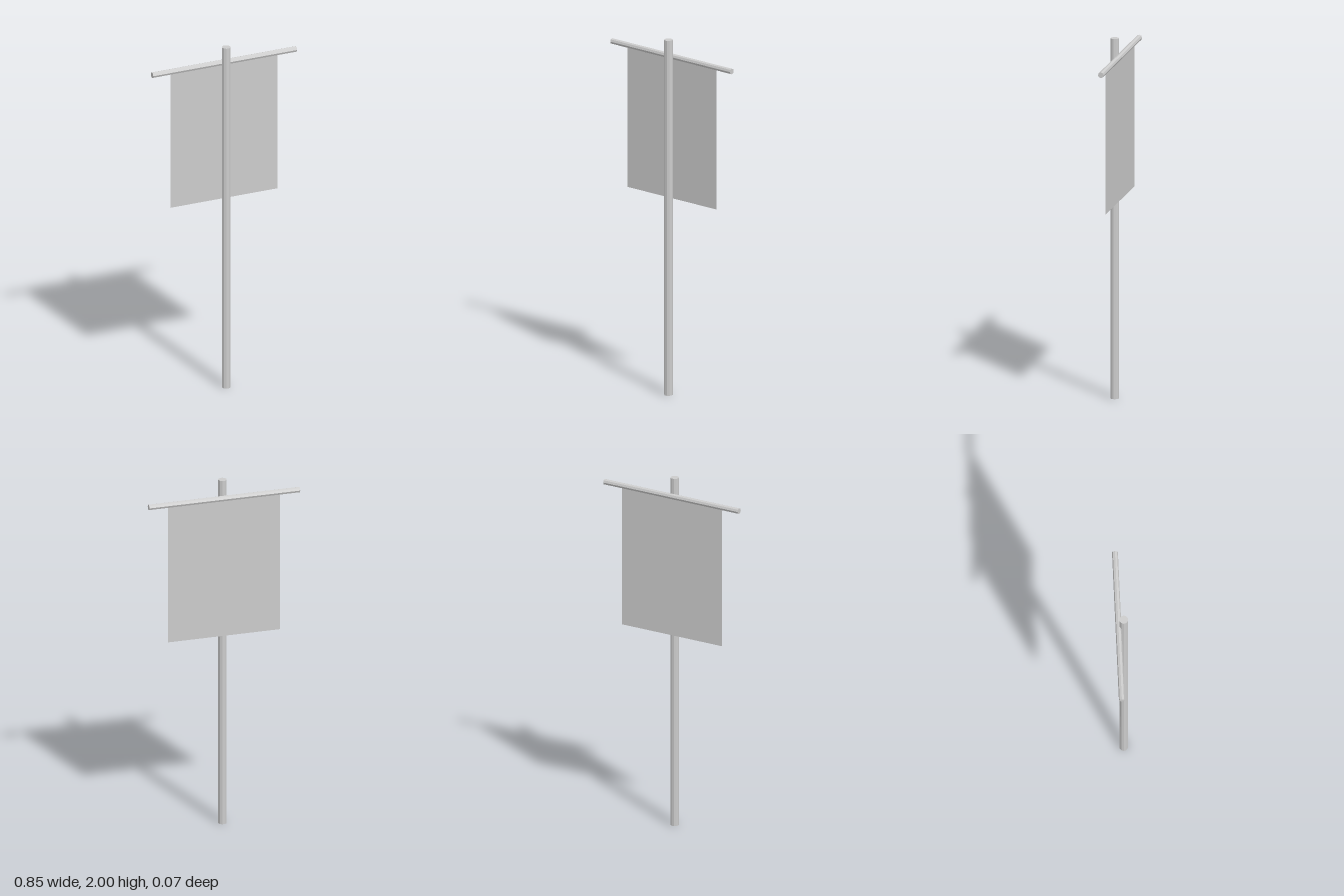
import * as THREE from 'three';

export function createModel() {
  const group = new THREE.Group();
  const wood = new THREE.MeshStandardMaterial({ color: 0xcccccc, flatShading: true });
  const fabric = new THREE.MeshStandardMaterial({ color: 0xcccccc, side: THREE.DoubleSide });

  const add = (name, geometry, material, x, y, z) => {
    const mesh = new THREE.Mesh(geometry, material);
    mesh.name = name;
    mesh.position.set(x, y, z);
    group.add(mesh);
  };

  // Upright pole, with corners on the left and right
  add('pole', new THREE.CylinderGeometry(0.0238, 0.0238, 2, 10).rotateY(Math.PI / 2), wood, 0, 1, 0.0108);

  // Crossbar tied behind the top of the pole
  add('crossbar', new THREE.CylinderGeometry(0.016, 0.016, 0.85, 8).rotateZ(Math.PI / 2), wood, 0, 1.9, -0.018);

  // Flat cloth hanging from the crossbar
  add('bannerCloth', new THREE.PlaneGeometry(0.632, 0.79), fabric, 0, 1.495, -0.018);

  return group;
}
